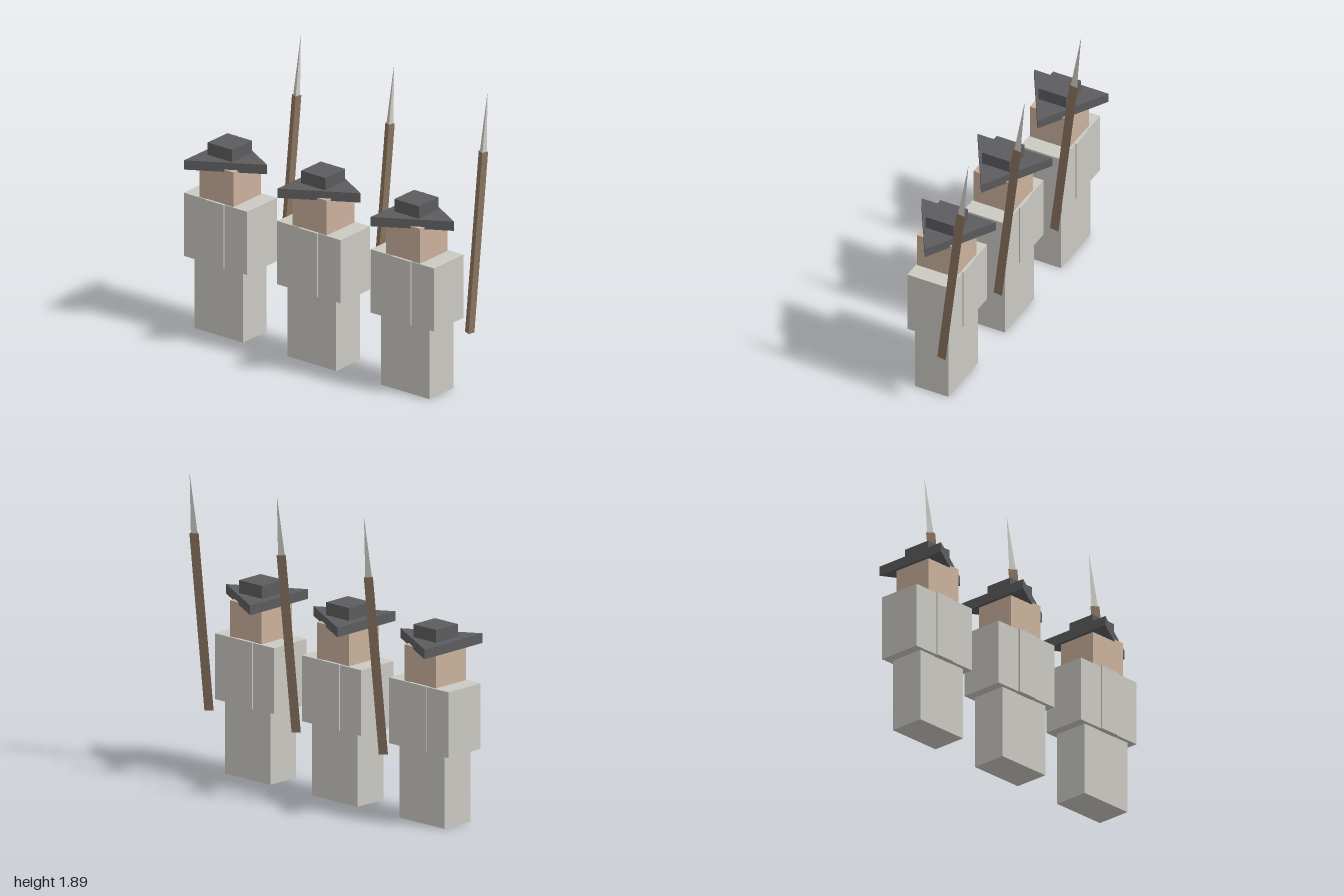
import * as THREE from 'three';

const mat = (name, color) => {
  const m = new THREE.MeshStandardMaterial({ color });
  m.name = name;
  return m;
};

export function createModel() {
  const cloth = mat('pale grey cloth', 0xcac9c2);
  const skin = mat('skin', 0xcbb19c);
  const felt = mat('dark felt', 0x5c5c5f);
  const wood = mat('brown wood', 0x89735f);
  const steel = mat('pale steel', 0xcac9c3);

  const add = (parent, name, geometry, material) => {
    const mesh = new THREE.Mesh(geometry, material);
    mesh.name = name;
    parent.add(mesh);
    return mesh;
  };
  // Box given by its extents on each axis
  const box = (parent, name, material, [x0, x1], [y0, y1], [z0, z1]) =>
    add(parent, name, new THREE.BoxGeometry(x1 - x0, y1 - y0, z1 - z0), material)
      .position.set((x0 + x1) / 2, (y0 + y1) / 2, (z0 + z1) / 2);

  // Triangular brim, pointing forward
  const brimShape = new THREE.Shape([
    new THREE.Vector2(-0.285, 0.187),
    new THREE.Vector2(-0.03, -0.25),
    new THREE.Vector2(0.223, 0.187),
  ]);
  const brimGeometry = new THREE.ExtrudeGeometry(brimShape, { depth: 0.06, bevelEnabled: false });
  brimGeometry.rotateX(-Math.PI / 2);

  // Three-sided shaft and point, flat side to the front
  const shaftLength = 1.139, headLength = 0.381;
  const shaftGeometry = new THREE.CylinderGeometry(0.033, 0.033, shaftLength, 3, 1, false, Math.PI)
    .toNonIndexed();
  const headGeometry = new THREE.ConeGeometry(0.024, headLength, 3, 1, false, Math.PI).toNonIndexed();
  shaftGeometry.translate(0, shaftLength / 2, 0).computeVertexNormals();
  headGeometry.translate(0, shaftLength + headLength / 2, 0).computeVertexNormals();

  const model = new THREE.Group();
  model.name = 'soldierColumn';

  [0.72, 0, -0.72].forEach((z) => {
    const soldier = new THREE.Group();
    soldier.name = 'soldier';
    soldier.position.z = z;
    model.add(soldier);

    // Body
    box(soldier, 'legs', cloth, [-0.145, 0.082], [0, 0.46], [-0.22, 0.155]);
    box(soldier, 'torso', cloth, [-0.17, 0.114], [0.46, 0.87], [-0.28, 0.208]);
    box(soldier, 'arms', cloth, [-0.18, 0.121], [0.458, 0.872], [-0.105, 0.034]);
    box(soldier, 'head', skin, [-0.163, 0.101], [0.87, 1.095], [-0.166, 0.096]);

    // Hat
    add(soldier, 'hatBrim', brimGeometry, felt).position.y = 1.08;
    box(soldier, 'hatCrown', felt, [-0.126, 0.063], [1.14, 1.22], [-0.132, 0.057]);

    // Leaning spear
    const spear = new THREE.Group();
    spear.name = 'spear';
    spear.position.set(0.101, 0.382, 0.2635);
    spear.rotation.z = -0.1155;
    add(spear, 'spearShaft', shaftGeometry, wood);
    add(spear, 'spearHead', headGeometry, steel);
    soldier.add(spear);
  });

  return model;
}
